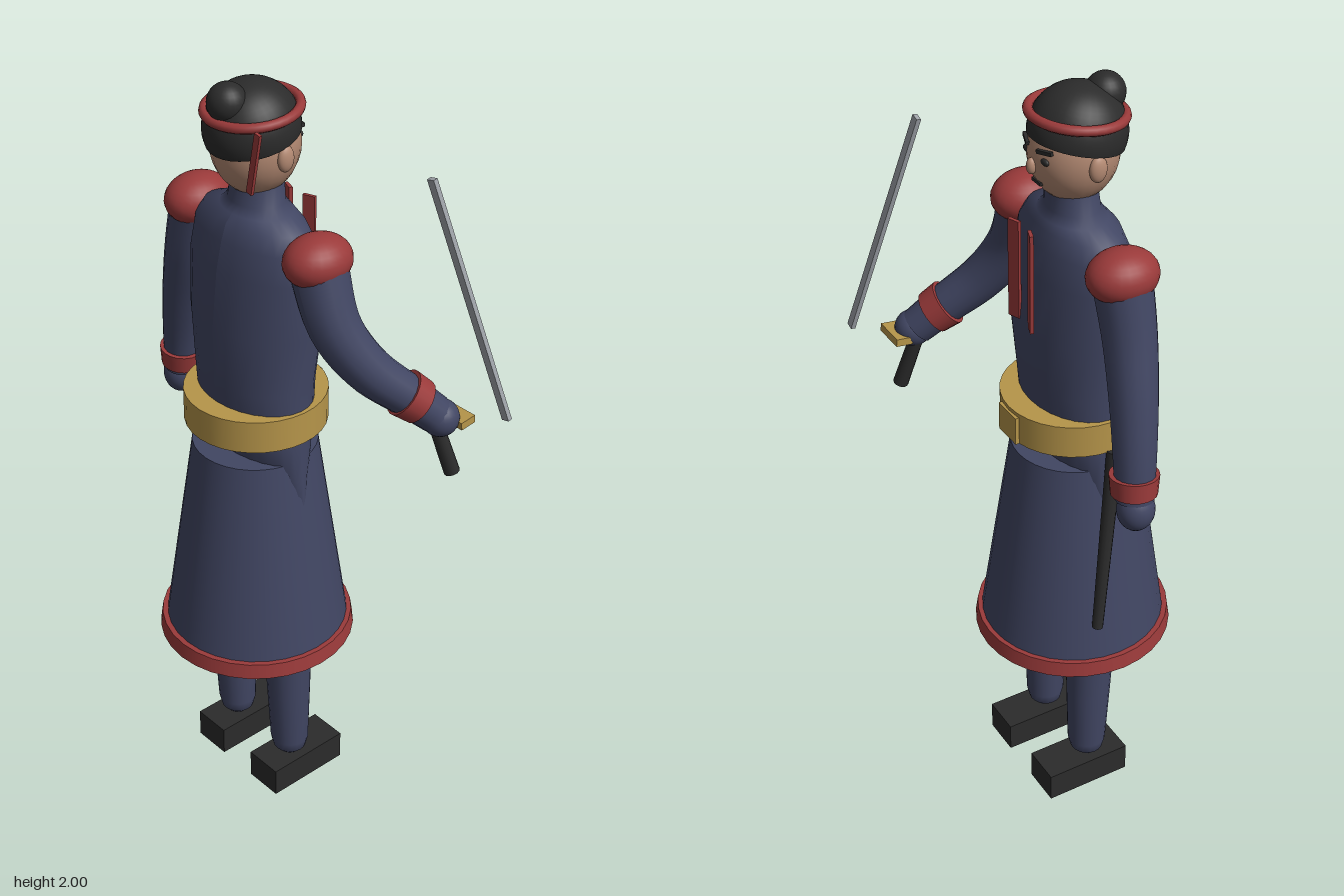
import * as THREE from 'three';

const V = (x, y, z) => new THREE.Vector3(x, y, z);
const mat = (name, color, side = THREE.FrontSide) => {
  const m = new THREE.MeshStandardMaterial({ color, side });
  m.name = name;
  return m;
};

// Elliptic loft along y; sections run from top to bottom as [y, centreZ, radiusX, radiusZ]
function loft(sections, sides = 28) {
  const n = sections.length - 1;
  const g = new THREE.CylinderGeometry(1, 1, 1, sides, n);
  const p = g.attributes.position;
  for (let i = 0; i < p.count; i++) {
    const [y, cz, rx, rz] = sections[Math.round((0.5 - p.getY(i)) * n)];
    p.setXYZ(i, p.getX(i) * rx, y, cz + p.getZ(i) * rz);
  }
  g.computeVertexNormals();
  return g;
}

// Tube that tapers from radius r0 to r1
function taperTube(points, r0, r1, segments = 20, sides = 16) {
  const curve = new THREE.CatmullRomCurve3(points);
  const g = new THREE.TubeGeometry(curve, segments, 1, sides);
  const p = g.attributes.position;
  const v = V();
  for (let i = 0; i < p.count; i++) {
    const t = Math.floor(i / (sides + 1)) / segments;
    const c = curve.getPointAt(t);
    v.fromBufferAttribute(p, i).sub(c).multiplyScalar(r0 + (r1 - r0) * t).add(c);
    p.setXYZ(i, v.x, v.y, v.z);
  }
  g.computeVertexNormals();
  return g;
}

export function createModel() {
  const navy = mat('navy cloth', 0x414663);
  const red = mat('red trim', 0x9a3a3a);
  const gold = mat('gold', 0xb6954a);
  const black = mat('black', 0x2b2b2b, THREE.DoubleSide);
  const skin = mat('skin', 0xb48a73);
  const steel = mat('steel', 0xa0a4aa);

  const model = new THREE.Group();
  const CX = -0.07; // body axis
  const add = (name, geometry, material, x = 0, y = 0, z = 0) => {
    const m = new THREE.Mesh(geometry, material);
    m.name = name;
    m.position.set(x, y, z);
    model.add(m);
    return m;
  };
  const ball = (name, material, x, y, z, rx, ry = rx, rz = rx) => {
    const m = add(name, new THREE.SphereGeometry(1, 24, 16), material, x, y, z);
    m.scale.set(rx, ry, rz);
    return m;
  };
  const box = (name, material, w, h, d, x, y, z) =>
    add(name, new THREE.BoxGeometry(w, h, d), material, x, y, z);
  // Stretch a part lying along y between two points
  const between = (name, geometry, material, a, b) => {
    const m = add(name, geometry, material);
    m.position.copy(a).add(b).multiplyScalar(0.5);
    m.quaternion.setFromUnitVectors(V(0, 1, 0), b.clone().sub(a).normalize());
    return m;
  };

  // Legs and shoes
  for (const s of [-1, 1]) {
    const x = CX + s * 0.11;
    add('leg', loft([
      [0.52, 0.042, 0.062, 0.067], [0.3, 0.038, 0.057, 0.058], [0.13, 0.035, 0.052, 0.05],
      [0.1, 0.035, 0.045, 0.043], [0.083, 0.035, 0.028, 0.027], [0.076, 0.035, 0.001, 0.001],
    ], 20), navy, x);
    box('shoe', black, 0.105, 0.08, 0.235, x, 0.04, 0.012);
  }

  // Coat skirt with its hem
  add('skirt', new THREE.CylinderGeometry(0.157, 0.236, 0.54, 32), navy, CX, 0.78, 0.052);
  add('hem', new THREE.CylinderGeometry(0.248, 0.254, 0.04, 32), red, CX, 0.496, 0.053);

  // Torso running into the collar
  add('torso', loft([
    [1.77, 0.035, 0.064, 0.057], [1.7, 0.04, 0.076, 0.061], [1.68, 0.04, 0.1, 0.075],
    [1.66, 0.045, 0.155, 0.088], [1.62, 0.045, 0.183, 0.102], [1.55, 0.045, 0.192, 0.118],
    [1.4, 0.045, 0.185, 0.134], [1.25, 0.05, 0.167, 0.128], [1.1, 0.05, 0.17, 0.11],
    [1.0, 0.048, 0.174, 0.075], [0.91, 0.045, 0.175, 0.035],
  ]), navy, CX);
  add('belt', new THREE.CylinderGeometry(0.178, 0.178, 0.085, 32), gold, CX, 1.155, 0.048);
  box('buckle', gold, 0.08, 0.075, 0.03, CX, 1.15, -0.12);
  for (const s of [-1, 1]) {
    const stripe = box('chestStripe', red, 0.032, 0.255, 0.009, CX + s * 0.037, 1.547, -0.09);
    stripe.rotation.y = s * 0.35;
  }

  // Arms with shoulder pads, cuffs and hands
  const arms = [
    [V(-0.28, 1.62, 0.042), V(-0.315, 1.48, 0.045), V(-0.355, 1.34, 0.035), V(-0.388, 1.2, 0.022), V(-0.405, 1.09, 0.014)],
    [V(0.14, 1.62, 0.042), V(0.195, 1.47, 0.035), V(0.25, 1.36, -0.02), V(0.305, 1.27, -0.11), V(0.335, 1.215, -0.165)],
  ];
  const cuffs = [[V(-0.394, 1.155, 0.018), V(-0.4, 1.102, 0.015)], [V(0.292, 1.288, -0.093), V(0.317, 1.25, -0.135)]];
  arms.forEach((path, i) => {
    add('arm', taperTube(path, 0.07, 0.047), navy);
    const s = path[0], h = path[4];
    ball('shoulderPad', red, CX + (i ? 0.214 : -0.214), 1.62, 0.042, 0.073, 0.063, 0.088);
    between('cuff', new THREE.CylinderGeometry(0.06, 0.056, 0.05, 20), red, cuffs[i][1], cuffs[i][0]);
    if (i) ball('hand', navy, h.x + 0.008, h.y - 0.008, h.z - 0.008, 0.047);
    else ball('hand', navy, -0.413, 1.065, 0.013, 0.046, 0.055, 0.046);
  });

  // Sword held in the left hand
  between('swordGrip', new THREE.CylinderGeometry(0.018, 0.02, 0.165, 12), black, V(0.358, 1.045, -0.208), V(0.32, 1.2, -0.172));
  const guard = box('swordGuard', gold, 0.09, 0.02, 0.045, 0.35, 1.198, -0.216);
  guard.rotation.x = 0.12;
  between('swordBlade', new THREE.BoxGeometry(0.022, 0.645, 0.012), steel, V(0.443, 1.195, -0.298), V(0.29, 1.81, -0.163));

  // Scabbard at the right hip
  between('scabbard', new THREE.CylinderGeometry(0.02, 0.014, 0.5, 12), black, V(-0.295, 0.62, -0.01), V(-0.252, 1.115, 0.055));

  // Head and face, looking towards -z
  ball('head', skin, CX, 1.84, 0.042, 0.105, 0.125, 0.107);
  for (const s of [-1, 1]) {
    ball('ear', skin, CX + s * 0.105, 1.83, 0.042, 0.014, 0.032, 0.022);
    ball('eye', black, CX + s * 0.038, 1.843, -0.054, 0.015, 0.009, 0.007);
    const brow = box('brow', black, 0.042, 0.009, 0.009, CX + s * 0.04, 1.867, -0.056);
    brow.rotation.set(0, s * -0.35, s * 0.12);
  }
  ball('nose', skin, CX, 1.82, -0.066, 0.012, 0.02, 0.012);
  box('mouth', black, 0.036, 0.008, 0.008, CX, 1.778, -0.051);

  // Hair cap tipped to the back, bun, headband and its tail
  const hair = add('hair', new THREE.SphereGeometry(1, 32, 16, 0, Math.PI * 2, 0, Math.PI * 0.56), black, CX, 1.878, 0.052);
  hair.scale.set(0.112, 0.112, 0.115);
  hair.rotation.x = 0.22;
  ball('bun', black, CX, 1.953, 0.122, 0.047);
  const band = add('headband', new THREE.TorusGeometry(0.109, 0.012, 10, 36), red, CX, 1.924, 0.05);
  band.rotation.x = Math.PI / 2 + 0.09;
  between('headbandTail', new THREE.BoxGeometry(0.018, 0.155, 0.008), red, V(0.018, 1.77, 0.133), V(0.048, 1.918, 0.133));

  return model;
}
